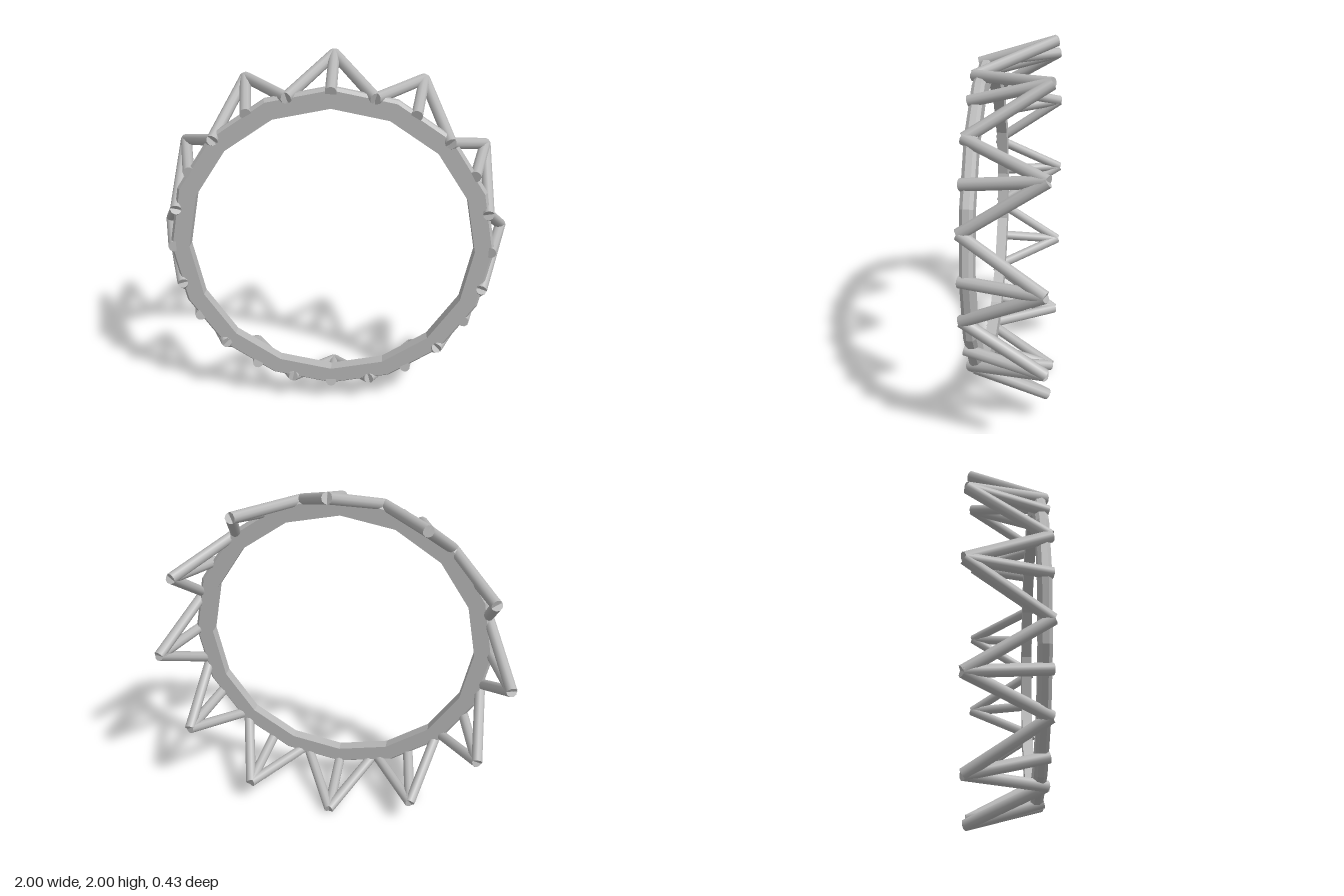
import * as THREE from 'three';

const CENTRE_Y = 1;
const SPIKES = 12;

// Point on a circle around the hoop axis
function onCircle(angle, radius, z) {
  return new THREE.Vector3(Math.sin(angle) * radius, CENTRE_Y + Math.cos(angle) * radius, z);
}

// Straight round bar between two points
function bar(name, from, to, radius, material) {
  const dir = to.clone().sub(from);
  const mesh = new THREE.Mesh(new THREE.CylinderGeometry(radius, radius, dir.length(), 10), material);
  mesh.name = name;
  mesh.position.copy(from).add(to).multiplyScalar(0.5);
  mesh.quaternion.setFromUnitVectors(new THREE.Vector3(0, 1, 0), dir.normalize());
  return mesh;
}

export function createModel() {
  const model = new THREE.Group();
  model.name = 'spikedHoop';
  const grey = new THREE.MeshStandardMaterial({ color: 0xb8b8b8 });
  grey.name = 'plain grey';

  // Sixteen-sided flat hoop with a slightly raised outer band
  const profile = [
    [0.77, 0.133], [0.862, 0.133], [0.877, 0.15], [0.877, 0.18],
    [0.862, 0.197], [0.77, 0.197], [0.77, 0.133],
  ].map(([r, z]) => new THREE.Vector2(r, z));
  const hoopGeometry = new THREE.LatheGeometry(profile, 16).toNonIndexed();
  hoopGeometry.rotateX(Math.PI / 2);
  hoopGeometry.computeVertexNormals();
  const hoop = new THREE.Mesh(hoopGeometry, grey);
  hoop.name = 'hoop';
  hoop.position.y = CENTRE_Y;
  model.add(hoop);

  // Twelve spikes, each a tripod of bars leaning outward to the back
  for (let i = 0; i < SPIKES; i++) {
    const angle = (i / SPIKES) * Math.PI * 2;
    const tip = onCircle(angle, 0.97, -0.2);
    const spike = new THREE.Group();
    spike.name = 'spike';
    for (const side of [-1, 0, 1]) {
      const foot = onCircle(angle + (side * Math.PI) / SPIKES, 0.853, 0.2);
      spike.add(bar(side === 0 ? 'middleBar' : 'sideBar', foot, tip, 0.03, grey));
    }
    model.add(spike);
  }
  return model;
}
